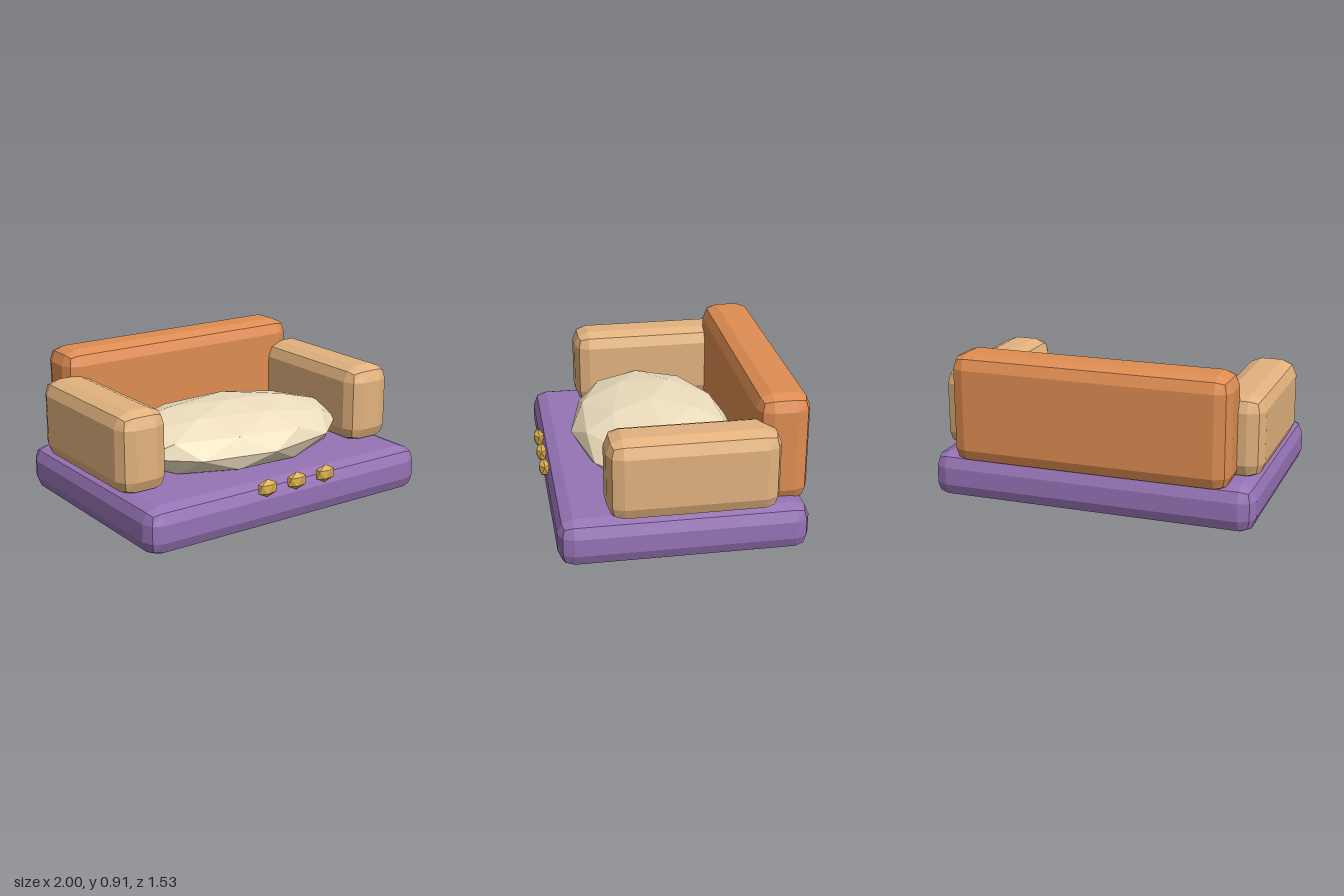
import * as THREE from 'three';
import { RoundedBoxGeometry } from 'three/addons/geometries/RoundedBoxGeometry.js';

const paint = (color) => new THREE.MeshStandardMaterial({ color, flatShading: true });
const purple = paint(0x9673b5);
const tan = paint(0xe2b27e);
const orange = paint(0xde8c52);
const cream = paint(0xefdfbf);
const gold = paint(0xd6ab4c);

export function createModel() {
  const model = new THREE.Group();

  const add = (name, geometry, material, x, y, z) => {
    const mesh = new THREE.Mesh(geometry, material);
    mesh.name = name;
    mesh.position.set(x, y, z);
    model.add(mesh);
    return mesh;
  };

  // Padded block given by its min and max corners, with two facets per rounded edge
  const block = (name, material, [x0, y0, z0], [x1, y1, z1], radius) =>
    add(name, new RoundedBoxGeometry(x1 - x0, y1 - y0, z1 - z0, 1, radius), material,
      (x0 + x1) / 2, (y0 + y1) / 2, (z0 + z1) / 2);

  // Faceted ellipsoid with one icosahedron corner pointing straight up
  const gem = (name, material, detail, [rx, ry, rz], [x, y, z]) => {
    const geometry = new THREE.IcosahedronGeometry(1, detail);
    geometry.rotateZ(-Math.atan2(2, 1 + Math.sqrt(5)));
    geometry.scale(rx, ry, rz);
    return add(name, geometry, material, x, y, z);
  };

  // Base and backrest
  block('base', purple, [-1, 0, -0.745], [1, 0.287, 0.72], 0.09);
  block('backrest', orange, [-0.856, 0.24, -0.763], [0.856, 0.914, -0.445], 0.09);

  // Armrests
  block('leftArmrest', tan, [0.683, 0.268, -0.566], [1, 0.764, 0.436], 0.093);
  block('rightArmrest', tan, [-1, 0.268, -0.566], [-0.683, 0.764, 0.436], 0.093);

  // Seat cushion
  gem('cushion', cream, 1, [0.79, 0.2, 0.51], [0, 0.4, 0.035]);

  // Studs along the front edge
  for (const x of [-0.215, 0, 0.215]) {
    gem('stud', gold, 0, [0.073, 0.056, 0.036], [x, 0.274, 0.735]);
  }

  return model;
}
